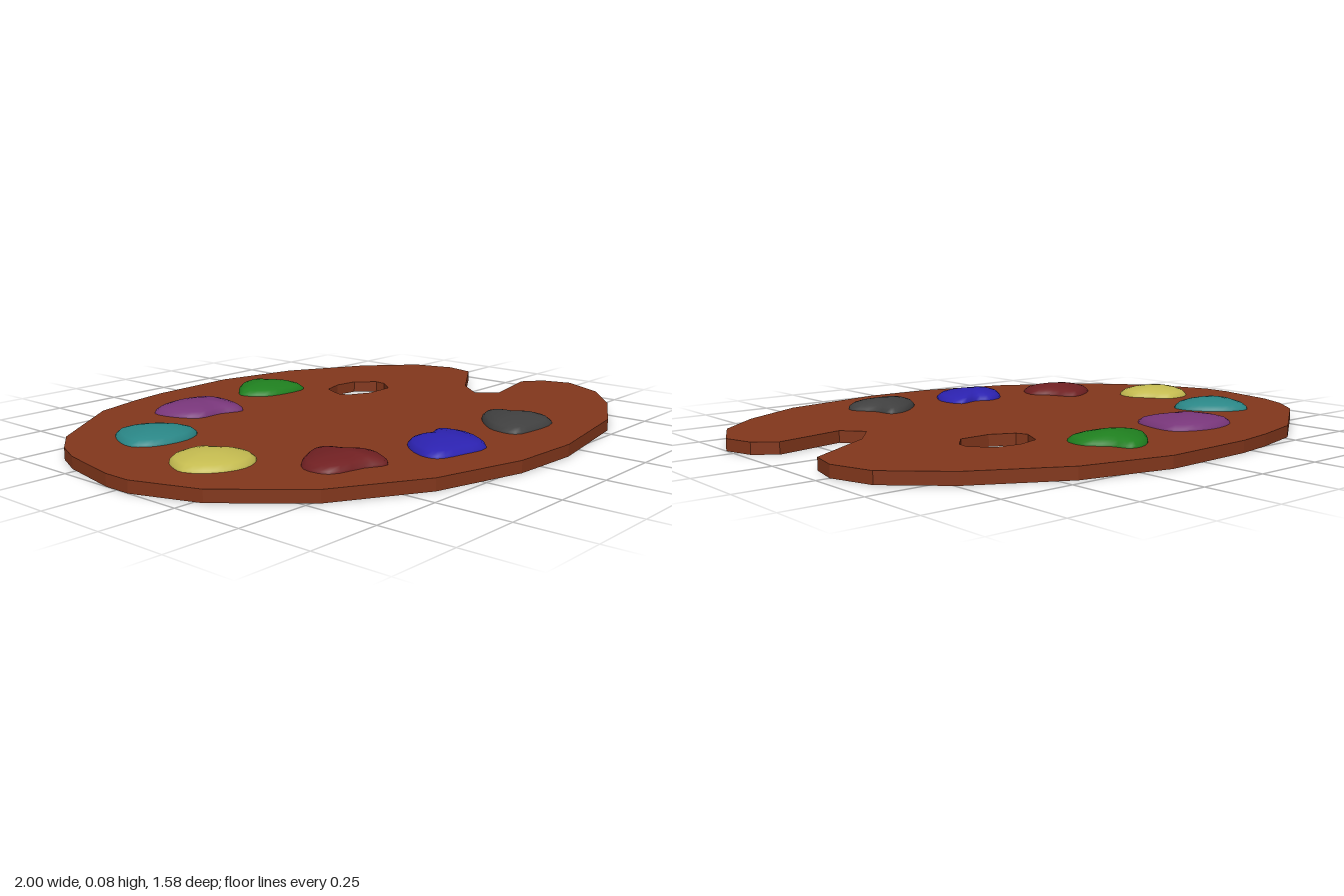
import * as THREE from 'three';

const TOP = 0.04;
const toPoints = (flat) => {
  const pts = [];
  for (let i = 0; i < flat.length; i += 2) pts.push(new THREE.Vector2(flat[i], flat[i + 1]));
  return pts;
};

// Flat board with a hooked notch and a thumb hole; outlines are x, z pairs
function makeBoard() {
  const shape = new THREE.Shape(toPoints([
    0.14, -0.79, 0.45, -0.72, 0.74, -0.56, 0.91, -0.4, 0.955, -0.25, 0.93, -0.14,
    0.68, 0.02, 0.6, 0.12, 0.66, 0.19, 0.9, 0.14, 0.97, 0.195, 1, 0.3,
    0.92, 0.46, 0.77, 0.59, 0.54, 0.715, 0.155, 0.785, -0.1, 0.775, -0.415, 0.69,
    -0.71, 0.52, -0.92, 0.275, -1, 0.05, -1, -0.05, -0.955, -0.275, -0.91, -0.38,
    -0.825, -0.49, -0.525, -0.7, -0.34, -0.75, -0.2, -0.775,
  ]));
  shape.holes.push(new THREE.Path(toPoints([
    0.28, -0.345, 0.36, -0.37, 0.45, -0.36, 0.51, -0.295, 0.505, -0.25,
    0.45, -0.185, 0.335, -0.18, 0.255, -0.22, 0.24, -0.26,
  ])));
  const geo = new THREE.ExtrudeGeometry(shape, { depth: TOP, bevelEnabled: false });
  geo.rotateX(Math.PI / 2).translate(0, TOP, 0);
  const board = new THREE.Mesh(geo, new THREE.MeshStandardMaterial({ color: 0x83371c, flatShading: true }));
  board.name = 'board';
  return board;
}

// Low domed blob: shrinking copies of the outline rising to a single peak
function makePaint(name, color, flat) {
  const curve = new THREE.CatmullRomCurve3(toPoints(flat).map((p) => new THREE.Vector3(p.x, 0, p.y)), true);
  const n = flat.length * 1.5;
  const outline = Array.from({ length: n }, (_, i) => curve.getPoint(i / n));
  const centre = outline.reduce((sum, p) => sum.add(p), new THREE.Vector3()).divideScalar(n);
  const rings = [[1, 0.036], [0.98, 0.047], [0.87, 0.059], [0.65, 0.068], [0.35, 0.075]];
  const pos = [], index = [];
  for (const [scale, y] of rings) {
    for (const p of outline) {
      const q = centre.clone().lerp(p, scale);
      pos.push(q.x, y, q.z);
    }
  }
  pos.push(centre.x, 0.079, centre.z);
  const peak = rings.length * n;
  for (let r = 0; r < rings.length; r++) {
    for (let i = 0; i < n; i++) {
      const a = r * n + i, b = r * n + (i + 1) % n;
      if (r === rings.length - 1) index.push(b, a, peak);
      else index.push(b, a, a + n, b, a + n, b + n);
    }
  }
  const geo = new THREE.BufferGeometry();
  geo.setAttribute('position', new THREE.Float32BufferAttribute(pos, 3));
  geo.setIndex(index);
  geo.computeVertexNormals();
  const paint = new THREE.Mesh(geo, new THREE.MeshStandardMaterial({ color }));
  paint.name = name;
  return paint;
}

export function createModel() {
  const palette = new THREE.Group();
  palette.name = 'paintPalette';
  palette.add(
    makeBoard(),
    makePaint('tealPaint', 0x2a8686, [-0.69, -0.4, -0.61, -0.39, -0.54, -0.33, -0.505, -0.26, -0.515, -0.205,
      -0.595, -0.16, -0.72, -0.175, -0.77, -0.23, -0.75, -0.32]),
    makePaint('purplePaint', 0x78367a, [-0.35, -0.575, -0.25, -0.58, -0.15, -0.53, -0.15, -0.425, -0.195, -0.325,
      -0.28, -0.35, -0.375, -0.355, -0.425, -0.435, -0.43, -0.53]),
    makePaint('greenPaint', 0x1f7f1f, [0.095, -0.635, 0.16, -0.64, 0.185, -0.58, 0.24, -0.51, 0.22, -0.42,
      0.105, -0.41, 0.02, -0.435, -0.025, -0.51, 0, -0.555]),
    makePaint('yellowPaint', 0xc4bb50, [-0.73, -0.04, -0.665, -0.03, -0.63, 0.025, -0.59, 0.09, -0.61, 0.17,
      -0.7, 0.215, -0.795, 0.185, -0.85, 0.11, -0.835, 0.045, -0.795, -0.015]),
    makePaint('redPaint', 0x702022, [-0.425, 0.245, -0.39, 0.325, -0.34, 0.4, -0.4, 0.505,
      -0.475, 0.475, -0.59, 0.44, -0.6, 0.35, -0.52, 0.275]),
    makePaint('bluePaint', 0x2c22b0, [-0.12, 0.385, -0.07, 0.405, 0.015, 0.385, 0.035, 0.485, -0.05, 0.615,
      -0.165, 0.605, -0.255, 0.575, -0.26, 0.515, -0.185, 0.405]),
    makePaint('blackPaint', 0x404040, [0.29, 0.365, 0.345, 0.36, 0.36, 0.435, 0.41, 0.52, 0.365, 0.6,
      0.23, 0.61, 0.15, 0.59, 0.15, 0.505, 0.205, 0.43]),
  );
  return palette;
}
